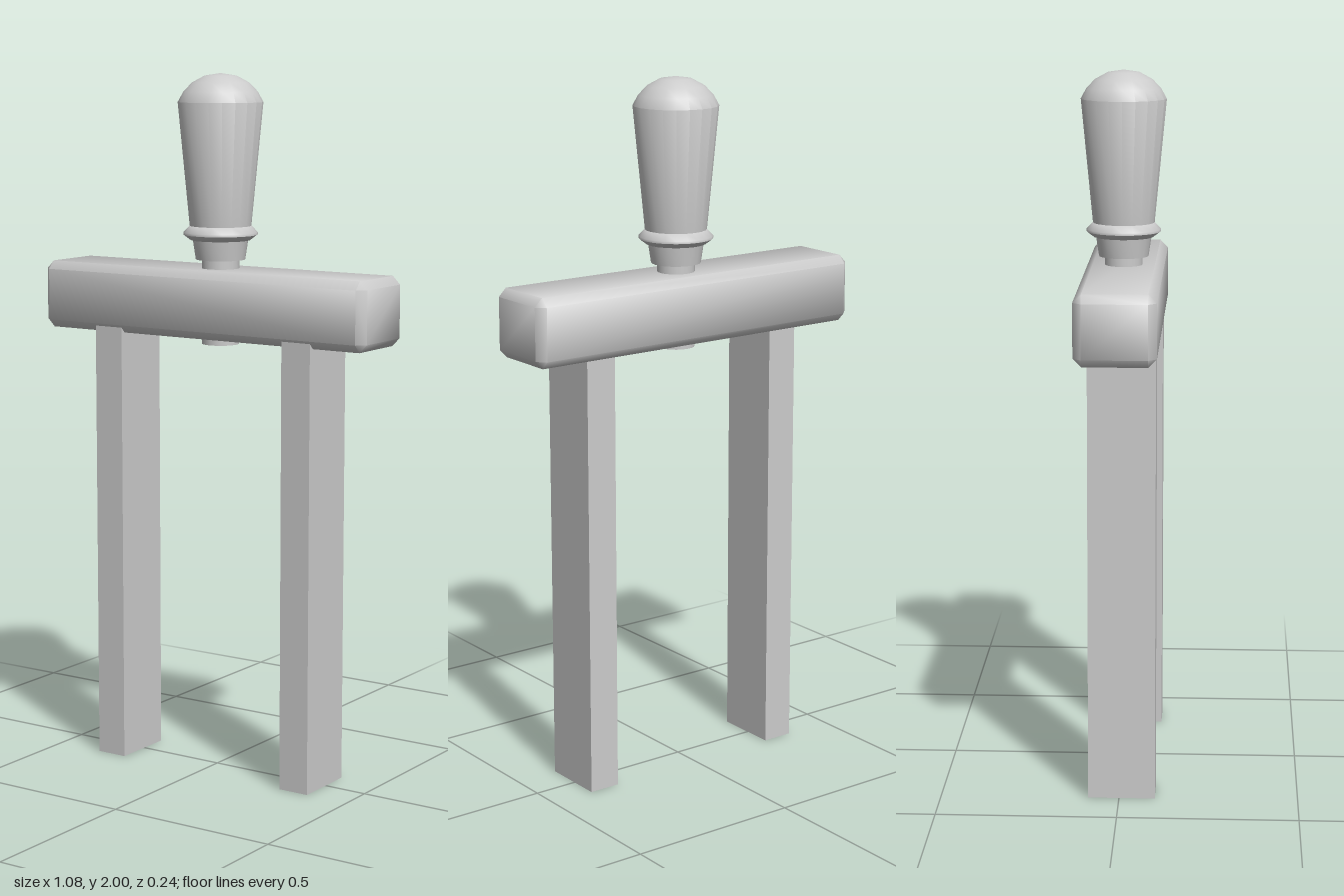
import * as THREE from 'three';
import { toCreasedNormals } from 'three/addons/utils/BufferGeometryUtils.js';
import { ConvexGeometry } from 'three/addons/geometries/ConvexGeometry.js';

const material = new THREE.MeshStandardMaterial({ color: 0xcccccc });
const SIDES = 20;

function addPart(parent, name, geometry, x, y, z) {
  const mesh = new THREE.Mesh(geometry, material);
  mesh.name = name;
  mesh.position.set(x, y, z);
  parent.add(mesh);
  return mesh;
}

// Box with one straight chamfer on every edge, shaded softly across it
function chamferedBox(w, h, d, c) {
  const half = [w / 2, h / 2, d / 2];
  const points = [];
  for (const sx of [-1, 1]) for (const sy of [-1, 1]) for (const sz of [-1, 1]) {
    for (let axis = 0; axis < 3; axis++) {
      const p = half.map((v, i) => (i === axis ? v : v - c));
      points.push(new THREE.Vector3(p[0] * sx, p[1] * sy, p[2] * sz));
    }
  }
  return toCreasedNormals(new ConvexGeometry(points), 1.0);
}

// Turned part from [radius, height] pairs, bottom to top
function turned(profile, crease = 0.6) {
  const points = profile.map(([r, y]) => new THREE.Vector2(r, y));
  return toCreasedNormals(new THREE.LatheGeometry(points, SIDES), crease);
}

export function createModel() {
  const model = new THREE.Group();
  model.name = 'twoProngedTool';

  // Crossbar
  addPart(model, 'crossbar', chamferedBox(1.084, 0.194, 0.222, 0.023), 0, 1.358, -0.003);

  // Two flat prongs, set into the underside of the crossbar
  for (const [name, side] of [['leftProng', 1], ['rightProng', -1]]) {
    addPart(model, name, new THREE.BoxGeometry(0.092, 1.28, 0.187), 0.008 + side * 0.318, 0.64, 0.007);
  }

  // Handle assembly on its own axis
  const handle = new THREE.Group();
  handle.name = 'handle';
  handle.position.set(0.009, 0, -0.003);
  model.add(handle);

  // Tang running through the crossbar, showing above and below
  addPart(handle, 'tang', turned([[0, 1.24], [0.053, 1.24], [0.053, 1.485], [0, 1.485]]), 0, 0, 0);

  // Ferrule under the collar
  addPart(handle, 'ferrule', turned([[0, 1.48], [0.07, 1.48], [0.079, 1.54], [0, 1.54]]), 0, 0, 0);

  // Collar ring
  addPart(handle, 'collar', turned([
    [0, 1.535], [0.085, 1.535], [0.105, 1.55], [0.105, 1.557], [0.087, 1.575], [0, 1.575],
  ], 0.9), 0, 0, 0);

  // Tapered grip with a domed end
  addPart(handle, 'grip', turned([
    [0, 1.565], [0.086, 1.565], [0.12, 1.92],
    [0.104, 1.949], [0.08, 1.974], [0.045, 1.993], [0, 2.0],
  ]), 0, 0, 0);

  return model;
}
